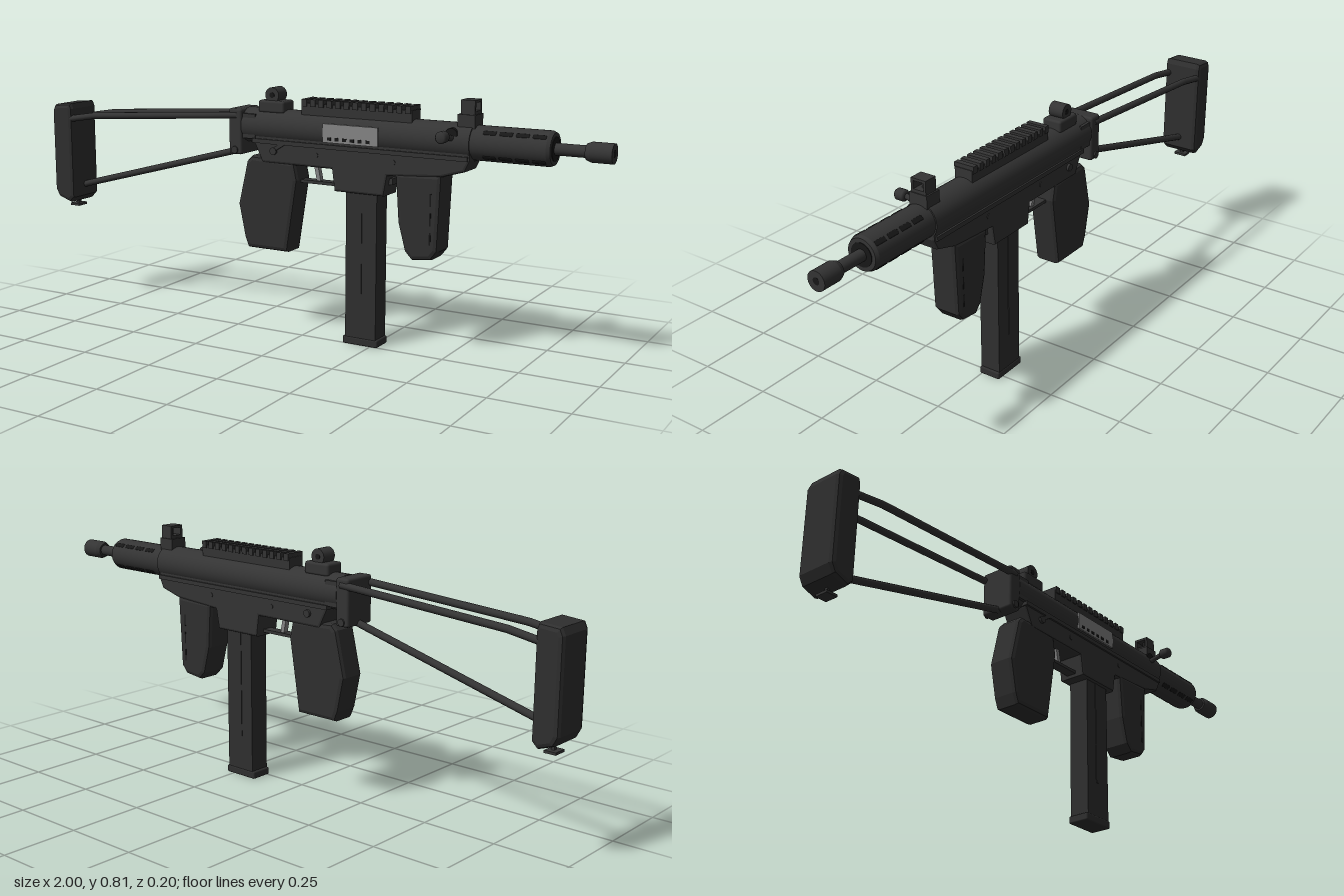
import * as THREE from 'three';
import { RoundedBoxGeometry } from 'three/addons/geometries/RoundedBoxGeometry.js';

const AXIS_Y = 0.68, AXIS_Z = -0.031;
const paint = (name, color) => {
  const m = new THREE.MeshStandardMaterial({ color });
  m.name = name;
  return m;
};

export function createModel() {
  const root = new THREE.Group();
  root.name = 'compactCarbine';
  const steel = paint('darkSteel', 0x343434);
  const polymer = paint('blackPolymer', 0x2f2f2f);
  const recess = paint('recessBlack', 0x171717);
  const bright = paint('brightBolt', 0x858585);

  const add = (name, geo, mat, x = 0, y = 0, z = AXIS_Z) => {
    const m = new THREE.Mesh(geo, mat);
    m.name = name;
    m.position.set(x, y, z);
    root.add(m);
    return m;
  };
  // box given by its x and y ranges, width and centre in z
  const box = (name, x0, x1, y0, y1, w, mat = steel, z = AXIS_Z) =>
    add(name, new THREE.BoxGeometry(x1 - x0, y1 - y0, w), mat, (x0 + x1) / 2, (y0 + y1) / 2, z);
  const rounded = (name, x0, x1, y0, y1, w, r, mat) =>
    add(name, new RoundedBoxGeometry(x1 - x0, y1 - y0, w, 2, r), mat, (x0 + x1) / 2, (y0 + y1) / 2);
  // cylinder along the bore
  const barrelPart = (name, x0, x1, r, mat = steel, r1 = r) => {
    const g = new THREE.CylinderGeometry(r1, r, x1 - x0, 32).rotateZ(-Math.PI / 2);
    return add(name, g, mat, (x0 + x1) / 2, AXIS_Y);
  };
  // cylinder across the model
  const pin = (name, x, y, z, r, len, mat = steel) =>
    add(name, new THREE.CylinderGeometry(r, r, len, 20).rotateX(Math.PI / 2), mat, x, y, z);
  // side profile extruded across z with bevelled edges
  const slab = (name, pts, w, bevel, mat) => {
    const shape = new THREE.Shape(pts.map(p => new THREE.Vector2(...p)));
    const g = new THREE.ExtrudeGeometry(shape, {
      depth: w - 2 * bevel, bevelEnabled: true, bevelSize: bevel, bevelThickness: bevel,
      bevelOffset: -bevel, bevelSegments: 2,
    }).translate(0, 0, -w / 2 + bevel);
    return add(name, g, mat);
  };
  const rod = (name, pts, r) => {
    const path = new THREE.CurvePath();
    const v = pts.map(p => new THREE.Vector3(...p));
    for (let i = 1; i < v.length; i++) path.add(new THREE.LineCurve3(v[i - 1], v[i]));
    return add(name, new THREE.TubeGeometry(path, 24, r, 10), steel, 0, 0, 0);
  };

  // receiver tube, shroud, barrel and muzzle
  barrelPart('receiverTube', -0.215, 0.58, 0.057);
  barrelPart('rearCap', -0.225, -0.205, 0.048);
  barrelPart('barrelShroud', 0.575, 0.815, 0.053);
  barrelPart('shroudLip', 0.815, 0.826, 0.053, steel, 0.048);
  barrelPart('shroudMouth', 0.826, 0.828, 0.036, recess);
  barrelPart('barrel', 0.82, 0.94, 0.018);
  barrelPart('muzzleCollar', 0.92, 0.935, 0.024, steel, 0.03);
  barrelPart('muzzle', 0.935, 1.0, 0.03);
  barrelPart('bore', 0.995, 1.0005, 0.011, recess);

  // cooling slots around the shroud
  for (let k = 0; k < 4; k++) {
    const a = Math.PI / 4 + k * Math.PI / 2;
    for (let i = 0; i < 4; i++) {
      const slot = add('coolingSlot', new RoundedBoxGeometry(0.042, 0.008, 0.016, 1, 0.0035), recess,
        0.638 + i * 0.051, AXIS_Y + 0.0505 * Math.sin(a), AXIS_Z + 0.0505 * Math.cos(a));
      slot.rotation.x = Math.PI / 2 - a;
    }
  }

  // lower receiver with magazine well
  slab('lowerReceiver', [[-0.175, 0.66], [-0.17, 0.625], [-0.14, 0.565], [0.115, 0.565], [0.125, 0.495],
    [0.298, 0.495], [0.31, 0.56], [0.49, 0.573], [0.565, 0.595], [0.582, 0.63], [0.582, 0.66]], 0.096, 0.008, steel);
  box('lowerFlange', -0.175, 0.575, 0.628, 0.642, 0.108);

  // ejection port and bolt
  box('ejectionPort', 0.09, 0.282, 0.65, 0.709, 0.006, bright, AXIS_Z + 0.056);
  for (let i = 0; i < 6; i++)
    box('boltNotch', 0.106 + i * 0.027, 0.12 + i * 0.027, 0.657, 0.667, 0.004, recess, AXIS_Z + 0.0585);

  // selector and pins
  const selector = box('selector', -0.11, -0.05, 0.613, 0.625, 0.008, steel, AXIS_Z + 0.051);
  selector.rotation.z = 0.55;
  pin('selectorPivot', -0.095, 0.606, AXIS_Z, 0.012, 0.112);
  for (const x of [0.06, 0.33]) pin('receiverPin', x, 0.605, AXIS_Z, 0.008, 0.1);
  box('magazineCatch', 0.3, 0.318, 0.53, 0.55, 0.05);

  // magazine
  box('magazine', 0.162, 0.27, 0.02, 0.52, 0.07, polymer);
  box('magazineRib', 0.207, 0.219, 0.14, 0.5, 0.074, polymer);
  rounded('magazineFloor', 0.153, 0.277, 0, 0.025, 0.074, 0.005, polymer);

  // grips
  slab('pistolGrip', [[-0.185, 0.583], [-0.025, 0.575], [-0.012, 0.515], [-0.05, 0.275], [-0.2, 0.275],
    [-0.214, 0.31], [-0.237, 0.42], [-0.203, 0.565]], 0.092, 0.014, polymer);
  slab('foregrip', [[0.335, 0.575], [0.492, 0.58], [0.482, 0.34], [0.46, 0.312], [0.395, 0.304],
    [0.37, 0.33], [0.346, 0.42]], 0.096, 0.014, polymer);
  for (const s of [-1, 1])
    for (let i = 0; i < 3; i++)
      box('foregripGroove', 0.455, 0.46, 0.36 + i * 0.06, 0.4 + i * 0.06, 0.002, recess, AXIS_Z + s * 0.048);

  // trigger and guard
  box('triggerGuard', -0.022, 0.13, 0.506, 0.516, 0.035);
  const trigger = box('trigger', 0.036, 0.05, 0.515, 0.57, 0.018, bright);
  trigger.rotation.z = 0.2;

  // top rail with teeth
  box('railBase', -0.003, 0.383, 0.725, 0.765, 0.062);
  for (let i = 0; i < 13; i++)
    box('railTooth', 0.0 + i * 0.0302, 0.018 + i * 0.0302, 0.755, 0.778, 0.07);

  // rear sight
  rounded('rearSightBase', -0.163, -0.067, 0.725, 0.765, 0.068, 0.008, steel);
  pin('rearSightDrum', -0.115, 0.782, AXIS_Z, 0.025, 0.052);
  pin('rearSightAperture', -0.115, 0.782, AXIS_Z, 0.009, 0.054, recess);

  // front sight with protecting ears
  box('frontSightBase', 0.532, 0.588, 0.725, 0.765, 0.062);
  box('frontSightBlock', 0.54, 0.585, 0.765, 0.775, 0.052);
  for (const s of [-1, 1])
    box('frontSightEar', 0.54, 0.585, 0.77, 0.806, 0.008, steel, AXIS_Z + s * 0.022);
  box('frontSightBridge', 0.54, 0.585, 0.8, 0.808, 0.052);
  box('frontSightPost', 0.559, 0.566, 0.77, 0.802, 0.006);

  // charging handle on the front side
  rod('chargingArm', [[0.522, 0.69, 0.0], [0.522, 0.706, 0.07]], 0.009);
  add('chargingKnob', new THREE.LatheGeometry([[0, -0.018], [0.013, -0.018], [0.018, -0.012],
    [0.018, 0.012], [0.013, 0.018], [0, 0.018]].map(p => new THREE.Vector2(...p)), 20).rotateX(Math.PI / 2),
  steel, 0.522, 0.706, 0.085);
  pin('handlePlate', 0.522, 0.705, 0.012, 0.02, 0.02, recess);

  // stock hinge
  rounded('hingeBlock', -0.262, -0.213, 0.585, 0.735, 0.115, 0.008, steel);
  pin('hingePin', -0.238, 0.6, AXIS_Z, 0.012, 0.125);
  box('hingeLug', -0.225, -0.165, 0.64, 0.72, 0.1);

  // stock rods, two above and one below
  for (const s of [-1, 1]) {
    const z = AXIS_Z + s * 0.056;
    rod('upperStockRod', [[-0.94, 0.652, z], [-0.82, 0.672, z], [-0.23, 0.713, AXIS_Z + s * 0.051]], 0.0115);
  }
  rod('lowerStockRod', [[-0.94, 0.408, AXIS_Z], [-0.225, 0.6, AXIS_Z]], 0.0115);

  // shoulder pad and its sling loop
  slab('shoulderPad', [[-0.99, 0.702], [-0.922, 0.708], [-0.915, 0.69], [-0.915, 0.375], [-0.935, 0.355],
    [-0.985, 0.372], [-1, 0.4], [-1, 0.68]], 0.138, 0.014, polymer);
  box('slingStem', -0.955, -0.945, 0.34, 0.37, 0.012);
  box('slingLoop', -0.97, -0.932, 0.335, 0.343, 0.045);

  return root;
}
